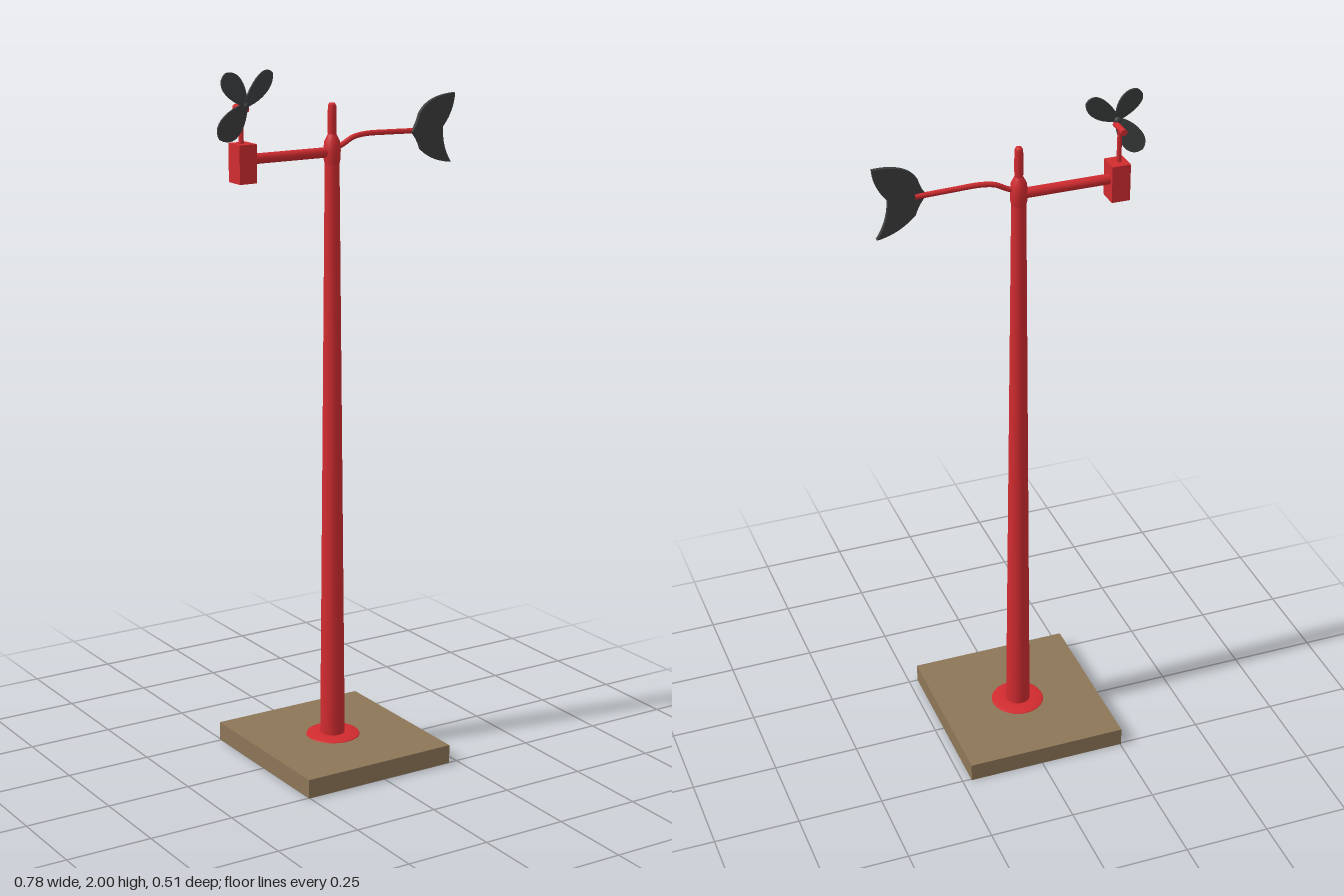
import * as THREE from 'three';

const material = (name, color) => {
  const m = new THREE.MeshStandardMaterial({ color });
  m.name = name;
  return m;
};

export function createModel() {
  const group = new THREE.Group();
  const red = material('red paint', 0xd12b2f);
  const wood = material('wood', 0x8c7657);
  const dark = material('dark grey', 0x3c3d3e);

  const add = (name, geometry, mat, x = 0, y = 0, z = 0) => {
    const mesh = new THREE.Mesh(geometry, mat);
    mesh.name = name;
    mesh.position.set(x, y, z);
    group.add(mesh);
    return mesh;
  };
  const lathe = (pts) => new THREE.LatheGeometry(pts.map(([r, y]) => new THREE.Vector2(r, y)), 24);
  const tube = (pts, r) => new THREE.TubeGeometry(
    new THREE.CatmullRomCurve3(pts.map((p) => new THREE.Vector3(...p))), 24, r, 12);
  // Thin plate whose depth follows a bend rule z = bend(x, y)
  const bentPlate = (shape, depth, bend) => {
    const g = new THREE.ExtrudeGeometry(shape, { depth, bevelEnabled: false, curveSegments: 10 });
    const p = g.attributes.position;
    for (let i = 0; i < p.count; i++) {
      p.setZ(i, p.getZ(i) - depth / 2 + bend(p.getX(i), p.getY(i)));
    }
    g.computeVertexNormals();
    return g;
  };

  // Square base and low mounting flange
  add('base', new THREE.BoxGeometry(0.476, 0.055, 0.507), wood, -0.015, 0.0275, -0.001);
  add('flange', lathe([[0.079, 0.054], [0.076, 0.059], [0.04, 0.062], [0, 0.062]]), red, -0.014, 0, -0.004);

  // Tapered mast with a swelling collar and slim top pin
  add('mast', lathe([[0.036, 0.055], [0.0205, 1.735]]), red, -0.015, 0, -0.005);
  add('collar', lathe([[0.019, 1.725], [0.023, 1.745], [0.024, 1.77], [0.022, 1.795], [0.012, 1.815]]),
    red, -0.015, 0, -0.005);
  add('topPin', lathe([[0.0115, 1.8], [0.0125, 1.85], [0.0115, 1.893], [0.008, 1.9], [0, 1.9]]),
    red, -0.015, 0, -0.005);

  // Propeller arm, housing and upright
  add('propellerArm', new THREE.CylinderGeometry(0.0145, 0.0145, 0.26, 16).rotateZ(Math.PI / 2),
    red, -0.145, 1.765, -0.008);
  add('housing', new THREE.BoxGeometry(0.053, 0.106, 0.06), red, -0.299, 1.757, -0.003);
  add('upright', new THREE.CylinderGeometry(0.006, 0.007, 0.1, 10), red, -0.303, 1.857, -0.003);
  add('propellerShaft', new THREE.CylinderGeometry(0.009, 0.009, 0.06, 12).rotateX(Math.PI / 2),
    red, -0.305, 1.905, 0);
  add('propellerHub', new THREE.SphereGeometry(0.011, 12, 8), dark, -0.309, 1.915, 0.03);

  // Three leaf-shaped blades: angle, length, half width, depth change to the tip
  [[38, 0.13, 0.026, -0.035], [124, 0.1, 0.031, -0.013], [237, 0.112, 0.031, -0.02]]
    .forEach(([angle, length, w, dz], i) => {
      const s = new THREE.Shape();
      s.moveTo(0, -0.007);
      s.bezierCurveTo(length * 0.35, -w * 1.2, length * 0.85, -w * 1.5, length, -w * 0.2);
      s.bezierCurveTo(length, w * 1.3, length * 0.5, w * 1.3, 0, 0.007);
      const blade = add('propellerBlade' + (i + 1),
        bentPlate(s, 0.006, (x, y) => dz * x / length + y * 0.15), dark, -0.311, 1.917, 0.034);
      blade.rotation.z = THREE.MathUtils.degToRad(angle);
    });

  // Curved tail rod
  add('tailRod', tube([[-0.005, 1.775, -0.004], [0.02, 1.785, -0.004], [0.05, 1.801, -0.004],
    [0.09, 1.808, -0.004], [0.18, 1.807, -0.004], [0.275, 1.804, -0.003]], 0.0075), red);

  // Forked fish-tail vane
  const t = new THREE.Shape();
  t.moveTo(0.24, 1.803);
  t.quadraticCurveTo(0.258, 1.825, 0.265, 1.853);
  t.quadraticCurveTo(0.295, 1.902, 0.392, 1.903);
  t.quadraticCurveTo(0.39, 1.85, 0.352, 1.81);
  t.quadraticCurveTo(0.352, 1.75, 0.388, 1.706);
  t.quadraticCurveTo(0.325, 1.71, 0.275, 1.752);
  t.quadraticCurveTo(0.262, 1.785, 0.24, 1.803);
  add('tailVane', bentPlate(t, 0.012, (x, y) => -0.004 - 0.12 * (x - 0.32) + 0.06 * (y - 1.805)), dark);

  return group;
}
